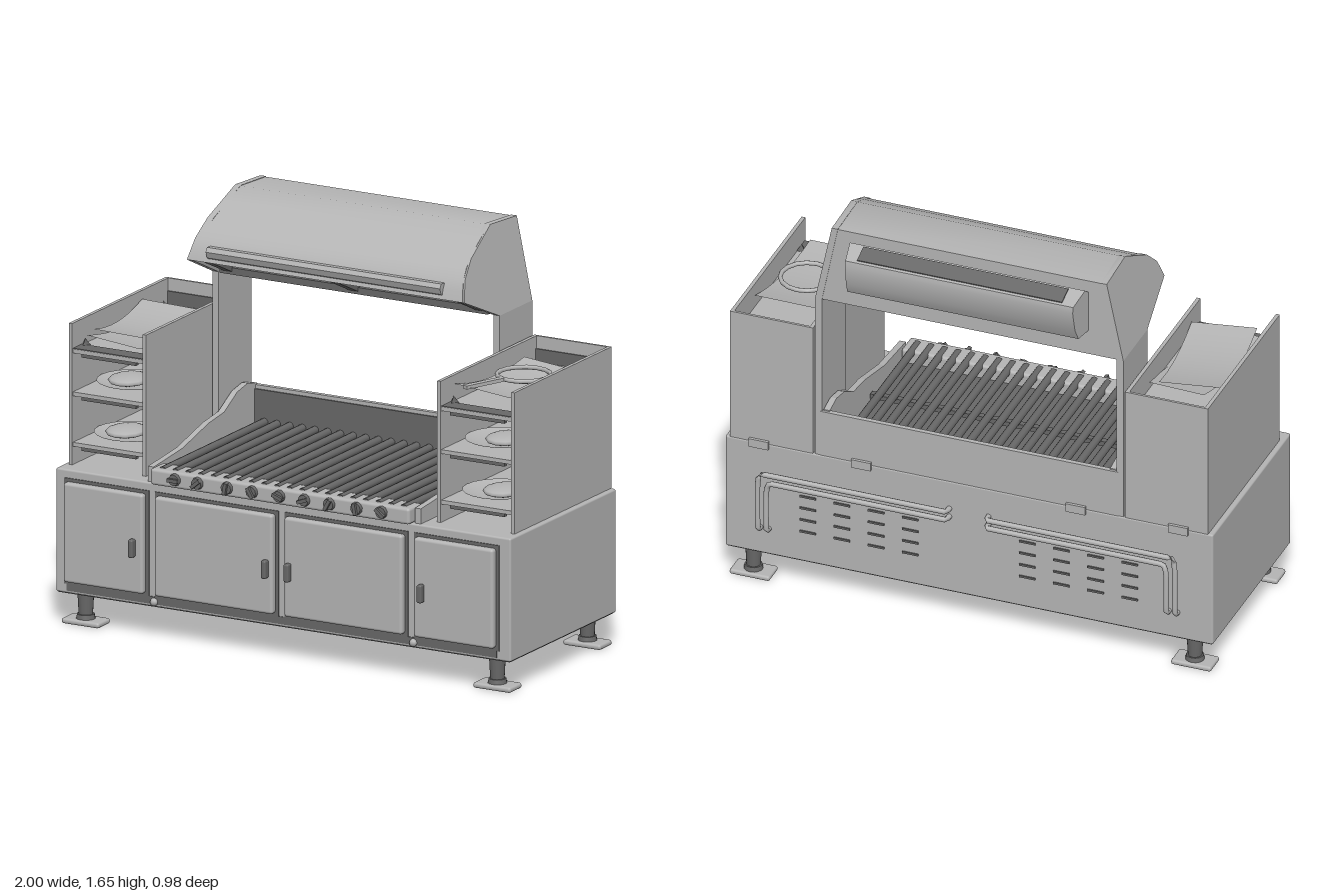
import * as THREE from 'three';
import { RoundedBoxGeometry } from 'three/addons/geometries/RoundedBoxGeometry.js';
import { toCreasedNormals } from 'three/addons/utils/BufferGeometryUtils.js';

const steel = new THREE.MeshStandardMaterial({ color: 0xb4b4b4 });
steel.name = 'steel';
const sheetSteel = new THREE.MeshStandardMaterial({ color: 0xb4b4b4, side: THREE.DoubleSide });
sheetSteel.name = 'sheet steel';
const darkSteel = new THREE.MeshStandardMaterial({ color: 0x686868 });
darkSteel.name = 'dark steel';

function add(parent, name, geo, x = 0, y = 0, z = 0, mat = steel) {
  const m = new THREE.Mesh(geo, mat);
  m.name = name;
  m.position.set(x, y, z);
  parent.add(m);
  return m;
}

// box given by its min and max corners
function box(parent, name, x0, x1, y0, y1, z0, z1, mat = steel) {
  return add(parent, name, new THREE.BoxGeometry(x1 - x0, y1 - y0, z1 - z0),
    (x0 + x1) / 2, (y0 + y1) / 2, (z0 + z1) / 2, mat);
}

// extrude a [z, y] profile along x
function extrudeX(profile, x0, x1) {
  const shape = new THREE.Shape(profile.map(([z, y]) => new THREE.Vector2(-z, y)));
  const g = new THREE.ExtrudeGeometry(shape, { depth: x1 - x0, bevelEnabled: false });
  return g.rotateY(Math.PI / 2).translate(x0, 0, 0);
}

// narrow a geometry in x by a factor that depends on y and z, smoothing shallow bends
function taper(geo, factor) {
  const p = geo.attributes.position;
  for (let i = 0; i < p.count; i++) p.setX(i, p.getX(i) * factor(p.getY(i), p.getZ(i)));
  return toCreasedNormals(geo, 0.6);
}

// slightly curled sheet lying flat
function curledSheet(w, d, curl) {
  const g = new THREE.PlaneGeometry(w, d, 6, 8).rotateX(-Math.PI / 2);
  const p = g.attributes.position;
  for (let i = 0; i < p.count; i++) {
    const u = p.getX(i) / w, v = p.getZ(i) / d;
    p.setY(i, curl * (4 * v * v - u * 0.5));
  }
  g.computeVertexNormals();
  return g;
}

function buildBase(root) {
  const base = new THREE.Group();
  base.name = 'base';
  root.add(base);
  add(base, 'baseCabinet', new RoundedBoxGeometry(2, 0.49, 0.81, 2, 0.008), 0, 0.375, 0.025);
  box(base, 'baseUnderside', -0.992, 0.992, 0.127, 0.132, -0.372, 0.422, darkSteel);
  for (const [x0, x1, hx] of [[-0.95, -0.6, -0.64], [-0.55, -0.03, -0.055], [0.02, 0.54, 0.045], [0.59, 0.94, 0.63]]) {
    box(base, 'doorGasket', x0 - 0.012, x1 + 0.012, 0.168, 0.587, 0.425, 0.434, darkSteel);
    add(base, 'door', new RoundedBoxGeometry(x1 - x0, 0.395, 0.034, 3, 0.012), (x0 + x1) / 2, 0.378, 0.446);
    add(base, 'doorHandle', new RoundedBoxGeometry(0.022, 0.072, 0.03, 2, 0.007), hx, 0.362, 0.476, darkSteel);
  }
  box(base, 'kickStrip', -0.95, 0.94, 0.14, 0.17, 0.425, 0.433, darkSteel);
  for (const x of [-0.565, 0.575]) add(base, 'floorCatch', new THREE.SphereGeometry(0.016, 8, 6), x, 0.15, 0.435);

  // legs with flat feet
  for (const x of [-0.905, 0.905]) for (const z of [0.365, -0.325]) {
    add(base, 'leg', new THREE.CylinderGeometry(0.033, 0.027, 0.11, 14), x, 0.08, z, darkSteel);
    add(base, 'legCollar', new THREE.CylinderGeometry(0.034, 0.038, 0.02, 14), x, 0.03, z, darkSteel);
    add(base, 'foot', new RoundedBoxGeometry(0.165, 0.022, 0.095, 2, 0.01), x, 0.011, z);
  }

  // rear rails, louvers and hinges
  for (const s of [-1, 1]) {
    for (const d of [0, 0.035]) {
      const pts = [[0.08, 0.5 - d, -0.375], [0.085, 0.5 - d, -0.408], [0.13, 0.5 - d, -0.41], [0.8 - d, 0.5 - d, -0.41],
        [0.845 - d, 0.495 - d, -0.41], [0.855 - d, 0.45 - d, -0.41], [0.855 - d, 0.28, -0.41], [0.855 - d, 0.25, -0.405], [0.855 - d, 0.245, -0.375]];
      const path = new THREE.CatmullRomCurve3(pts.map(([x, y, z]) => new THREE.Vector3(s * x, y, z)), false, 'catmullrom', 0.3);
      add(base, 'rearRail', new THREE.TubeGeometry(path, 50, 0.011, 8));
    }
    for (let c = 0; c < 4; c++) for (let r = 0; r < 4; r++) {
      const x = s * (0.24 + c * 0.14), y = 0.26 + r * 0.052;
      box(base, 'louver', x - 0.033, x + 0.033, y, y + 0.008, -0.386, -0.38, darkSteel);
    }
    for (const x of [0.44, 0.86]) box(base, 'hinge', s * x - 0.04, s * x + 0.04, 0.6, 0.635, -0.392, -0.376);
  }
}

function buildGrill(root) {
  const grill = new THREE.Group();
  grill.name = 'grill';
  root.add(grill);
  box(grill, 'backWall', -0.61, 0.61, 0.62, 0.815, -0.38, -0.36);
  box(grill, 'backWallLiner', -0.575, 0.575, 0.62, 0.8, -0.36, -0.353, darkSteel);
  add(grill, 'controlPanel', new RoundedBoxGeometry(1.14, 0.065, 0.1, 2, 0.012), 0, 0.652, 0.408);
  box(grill, 'dripTray', -0.57, 0.57, 0.615, 0.628, -0.36, 0.38, darkSteel);
  // sloping cheeks at both ends
  const cheek = [[-0.37, 0.62], [0.42, 0.62], [0.42, 0.68], [0.2, 0.7], [0, 0.75], [-0.12, 0.765], [-0.22, 0.82], [-0.3, 0.835], [-0.37, 0.82]];
  for (const x of [-0.6, 0.575]) add(grill, 'cheek', extrudeX(cheek, x, x + 0.025));
  for (let i = 0; i < 20; i++) {
    const bar = new THREE.CylinderGeometry(0.016, 0.016, 0.78, 10).rotateX(Math.PI / 2);
    add(grill, 'grateBar', bar, -0.53 + i * 0.0558, 0.675, 0.04, darkSteel);
  }
  for (const z of [-0.3, 0.05, 0.38]) box(grill, 'grateSupport', -0.57, 0.57, 0.645, 0.665, z - 0.012, z + 0.012, darkSteel);
  [-0.46, -0.36, -0.23, -0.12, 0, 0.11, 0.22, 0.34, 0.45].forEach((x, i) => {
    const knob = new THREE.Group();
    knob.name = 'knob';
    knob.position.set(x, 0.655, 0.46);
    knob.rotation.z = i * 0.7;
    grill.add(knob);
    add(knob, 'knobDial', new THREE.CylinderGeometry(0.022, 0.027, 0.022, 10).rotateX(Math.PI / 2), 0, 0, 0, darkSteel);
    add(knob, 'knobGrip', new THREE.BoxGeometry(0.046, 0.014, 0.03), 0, 0, 0.008, darkSteel);
  });
}

function buildHood(root) {
  const hood = new THREE.Group();
  hood.name = 'hood';
  root.add(hood);
  const narrow = y => 1 - Math.max(0, y - 1.315) * 0.33;
  // pillars and the leaning side plates above them
  const side = [[-0.378, 1.315], [-0.128, 1.315], [0.105, 1.42], [0.07, 1.5], [0, 1.565], [-0.18, 1.655], [-0.378, 1.642]];
  for (const x of [-0.632, 0.604]) {
    box(hood, 'pillar', x, x + 0.028, 0.62, 1.315, -0.378, -0.128);
    add(hood, 'sidePlate', taper(extrudeX(side, x, x + 0.028), narrow));
  }
  // curved skin
  const skin = [[0.105, 1.42], [0.092, 1.46], [0.07, 1.5], [0.037, 1.535], [0, 1.562], [-0.09, 1.612], [-0.18, 1.653], [-0.376, 1.64], [-0.376, 1.315],
    [-0.355, 1.315], [-0.355, 1.62], [-0.18, 1.632], [-0.01, 1.545], [0.053, 1.49], [0.087, 1.415]];
  add(hood, 'skin', taper(extrudeX(skin, -0.625, 0.625), narrow));
  // front handle lip
  const lip = [[0.1, 1.435], [0.108, 1.44], [0.118, 1.465], [0.108, 1.482], [0.08, 1.48]];
  add(hood, 'handleLip', extrudeX(lip, -0.52, 0.51));
  // underside panel and frame
  const ceiling = [[-0.355, 1.366], [-0.12, 1.366], [0.085, 1.446], [0.085, 1.44], [-0.12, 1.36], [-0.355, 1.36]];
  add(hood, 'ceiling', extrudeX(ceiling, -0.575, 0.575), 0, 0, 0, darkSteel);
  const rib = [[-0.36, 1.325], [-0.12, 1.325], [0.085, 1.42], [0.085, 1.44], [-0.12, 1.36], [-0.36, 1.36]];
  for (const x of [-0.575, -0.02, 0.535]) add(hood, 'ceilingRib', extrudeX(rib, x, x + 0.04), 0, 0, 0, darkSteel);
  box(hood, 'ceilingBar', -0.59, 0.59, 1.318, 1.345, -0.14, -0.11, darkSteel);
  box(hood, 'ceilingBar', -0.59, 0.59, 1.325, 1.36, -0.26, -0.23, darkSteel);
  // rear vent box
  const vent = [[-0.37, 1.42], [-0.37, 1.585], [-0.402, 1.61], [-0.488, 1.58], [-0.492, 1.555], [-0.475, 1.47], [-0.45, 1.42]];
  add(hood, 'rearVent', taper(extrudeX(vent, -0.49, 0.485), (y, z) => 1 + (z + 0.37) * 0.35));
  const slot = box(hood, 'ventSlot', -0.42, 0.42, -0.003, 0.003, -0.035, 0.035, darkSteel);
  slot.position.set(0, 1.597, -0.445);
  slot.rotation.x = -0.34;
}

function buildSideCabinet(root, s) {
  const cab = new THREE.Group();
  cab.name = s > 0 ? 'leftCabinet' : 'rightCabinet';
  cab.position.x = s * 0.81;
  root.add(cab);
  for (const x of [-0.1625, 0.1625]) box(cab, 'cabinetWall', x - 0.0075, x + 0.0075, 0.62, 1.18, -0.38, 0.365);
  box(cab, 'cabinetBack', -0.17, 0.17, 0.62, 1.18, -0.38, -0.37);
  box(cab, 'cabinetBackLiner', -0.155, 0.155, 0.62, 1.13, -0.37, -0.364, darkSteel);
  for (const y of [0.7, 0.9, 1.07]) {
    box(cab, 'shelf', -0.155, 0.155, y - 0.008, y + 0.008, -0.366, 0.36);
    box(cab, 'shelfPull', -0.12, 0.12, y - 0.022, y - 0.008, 0.335, 0.355, darkSteel);
  }
  box(cab, 'topShelfLip', -0.155, 0.155, 1.077, 1.081, 0.29, 0.358, darkSteel);
  // corner gussets on the top shelf
  for (const x of [-0.14, 0.14]) for (const z of [-0.31, 0.29])
    add(cab, 'gusset', new THREE.ConeGeometry(0.022, 0.03, 3), x, 1.092, z, darkSteel);
  // serving dishes on the lower shelves
  for (const [y, z] of [[0.73, 0.18], [0.93, 0.16]]) {
    const dish = [[0, -0.012], [0.08, -0.01], [0.14, 0.005], [0.145, 0.008]].map(p => new THREE.Vector2(...p));
    add(cab, 'dish', new THREE.LatheGeometry(dish, 20), 0, y - 0.008, z, sheetSteel);
    add(cab, 'food', new THREE.SphereGeometry(0.08, 12, 8).scale(1, 0.25, 1.2), 0.02 * s, y, z);
  }
  const sheet = add(cab, 'servingSheet', curledSheet(0.26, 0.46, 0.03), 0, 1.11, 0.05, sheetSteel);
  sheet.rotation.y = s < 0 ? 0.1 : -0.1;
  if (s < 0) {
    add(cab, 'servingSheet', curledSheet(0.25, 0.48, 0.025), 0.015, 1.085, 0.06, sheetSteel).rotation.y = -0.12;
  } else {
    // round pan ring with a long handle
    const ring = add(cab, 'panRing', new THREE.TorusGeometry(0.103, 0.009, 8, 16), 0.01, 1.145, 0.015);
    ring.rotation.x = Math.PI / 2;
    const handle = add(cab, 'panHandle', new THREE.BoxGeometry(0.024, 0.014, 0.19), -0.06, 1.145, 0.195);
    handle.rotation.y = -0.38;
  }
}

export function createModel() {
  const root = new THREE.Group();
  root.name = 'barbecueGrill';
  buildBase(root);
  buildGrill(root);
  buildHood(root);
  for (const s of [-1, 1]) buildSideCabinet(root, s);
  return root;
}
